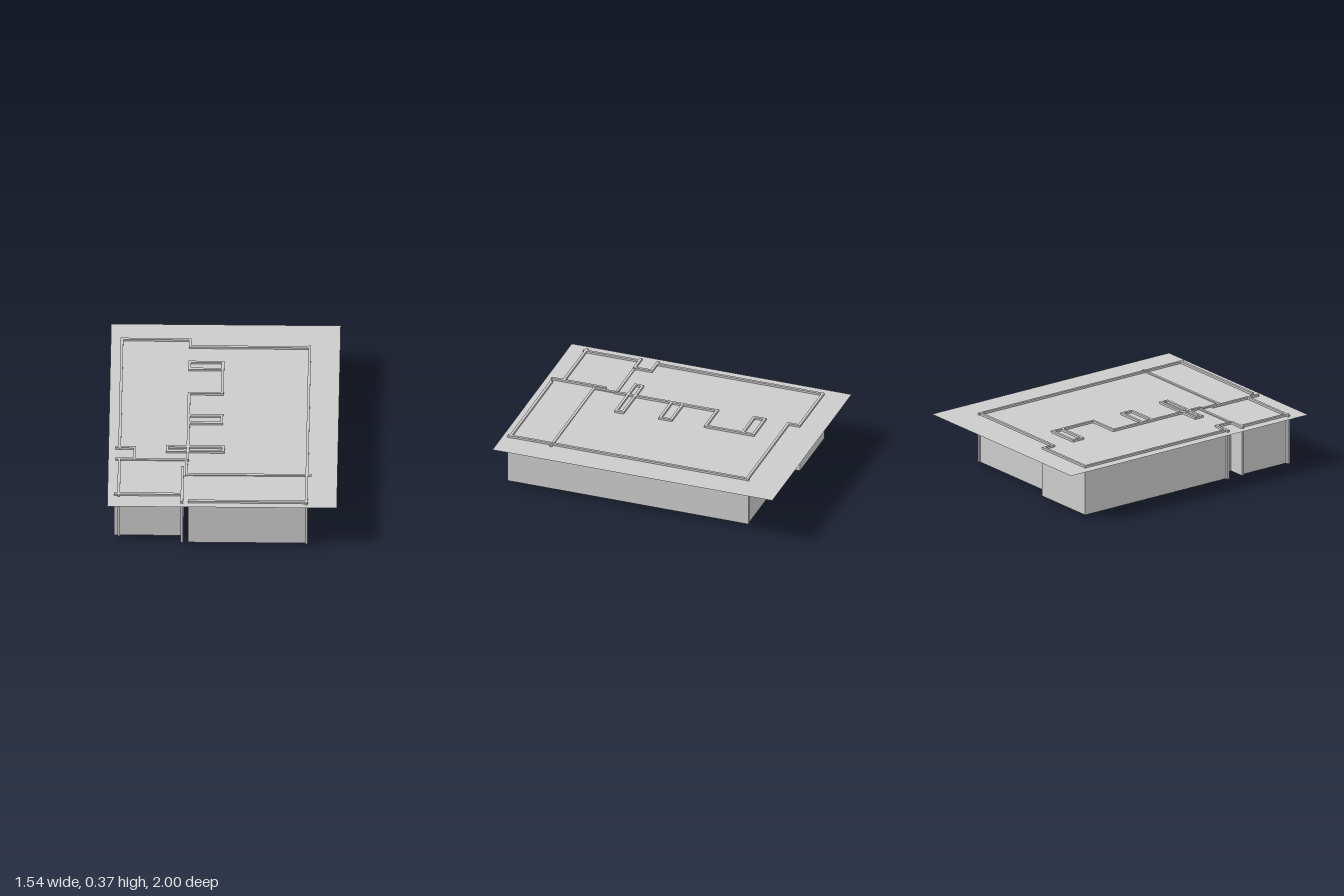
import * as THREE from 'three';

const T = 0.018;          // wall thickness
const FLOOR = 0.022;      // foot of the walls
const TOP = 0.37;         // head of the walls
const BEAM = 0.265;       // underside of the lintels

export function createModel() {
  const model = new THREE.Group();
  const material = new THREE.MeshStandardMaterial({ color: 0xcccccc, flatShading: true });

  const box = (parent, name, x0, x1, y0, y1, z0, z1) => {
    const mesh = new THREE.Mesh(new THREE.BoxGeometry(x1 - x0, y1 - y0, z1 - z0), material);
    mesh.position.set((x0 + x1) / 2, (y0 + y1) / 2, (z0 + z1) / 2);
    mesh.name = name;
    parent.add(mesh);
  };
  // walls running along x (at a fixed z) or along z (at a fixed x)
  const alongX = (parent, name, z, x0, x1, y0 = FLOOR, y1 = TOP) =>
    box(parent, name, x0, x1, y0, y1, z - T / 2, z + T / 2);
  const alongZ = (parent, name, x, z0, z1, y0 = FLOOR, y1 = TOP) =>
    box(parent, name, x - T / 2, x + T / 2, y0, y1, z0, z1);
  const group = (name) => {
    const g = new THREE.Group();
    g.name = name;
    model.add(g);
    return g;
  };

  // thin ceiling sheet, the wall heads rise just through it
  const sheet = new THREE.Mesh(
    new THREE.PlaneGeometry(1.54, 2).rotateX(-Math.PI / 2),
    new THREE.MeshStandardMaterial({ color: 0xcccccc, side: THREE.DoubleSide })
  );
  sheet.position.y = 0.356;
  sheet.name = 'ceiling';
  model.add(sheet);

  // outer walls
  const outer = group('outerWalls');
  alongZ(outer, 'leftWall', 0.565, -0.76, 0.965);
  alongX(outer, 'frontWall', 0.945, -0.228, 0.575);
  alongX(outer, 'backWall', -0.745, -0.237, 0.575);
  alongZ(outer, 'backStepWall', -0.237, -0.83, -0.736);
  alongX(outer, 'backBayWall', -0.822, -0.705, -0.228);
  alongZ(outer, 'rightWallRear', -0.695, -0.83, 0.375);
  alongZ(outer, 'rightWallFront', -0.695, 0.478, 0.89);
  alongX(outer, 'frontWallRight', 0.872, -0.725, -0.262);
  alongZ(outer, 'entryWall', -0.27, 0.57, 0.96);

  // recess in the right wall
  const recess = group('sideRecess');
  for (const z of [0.365, 0.487]) alongX(recess, 'recessSide', z, -0.722, -0.585);
  alongZ(recess, 'recessBack', -0.594, 0.356, 0.496);

  // inner core: spine with closets
  const core = group('coreWalls');
  alongZ(core, 'spineWall', -0.237, -0.24, 0.5);
  for (const z of [0.35, 0.4]) alongX(core, 'longClosetSide', z, -0.385, 0.01);
  for (const x of [-0.376, 0.001]) alongZ(core, 'longClosetEnd', x, 0.341, 0.409);
  for (const z of [0.01, 0.09]) alongX(core, 'smallClosetSide', z, -0.246, -0.005);
  alongZ(core, 'smallClosetEnd', -0.014, 0.001, 0.099);
  alongX(core, 'crossWall', -0.235, -0.246, -0.005);
  alongZ(core, 'returnWall', -0.014, -0.585, -0.226);
  for (const z of [-0.5, -0.576]) alongX(core, 'rearClosetSide', z, -0.246, -0.005);
  alongZ(core, 'rearClosetEnd', -0.237, -0.585, -0.491);

  // lintels and the post carrying the front one
  const beams = group('beams');
  alongX(beams, 'frontBeam', 0.648, -0.24, 0.595, BEAM, 0.364);
  alongX(beams, 'sideBeam', 0.487, -0.59, -0.237, BEAM, 0.364);
  alongZ(beams, 'entryBeam', -0.245, 0.49, 0.66, BEAM, 0.364);
  box(beams, 'post', -0.082, -0.064, 0, 0.3, 0.639, 0.657);

  return model;
}
